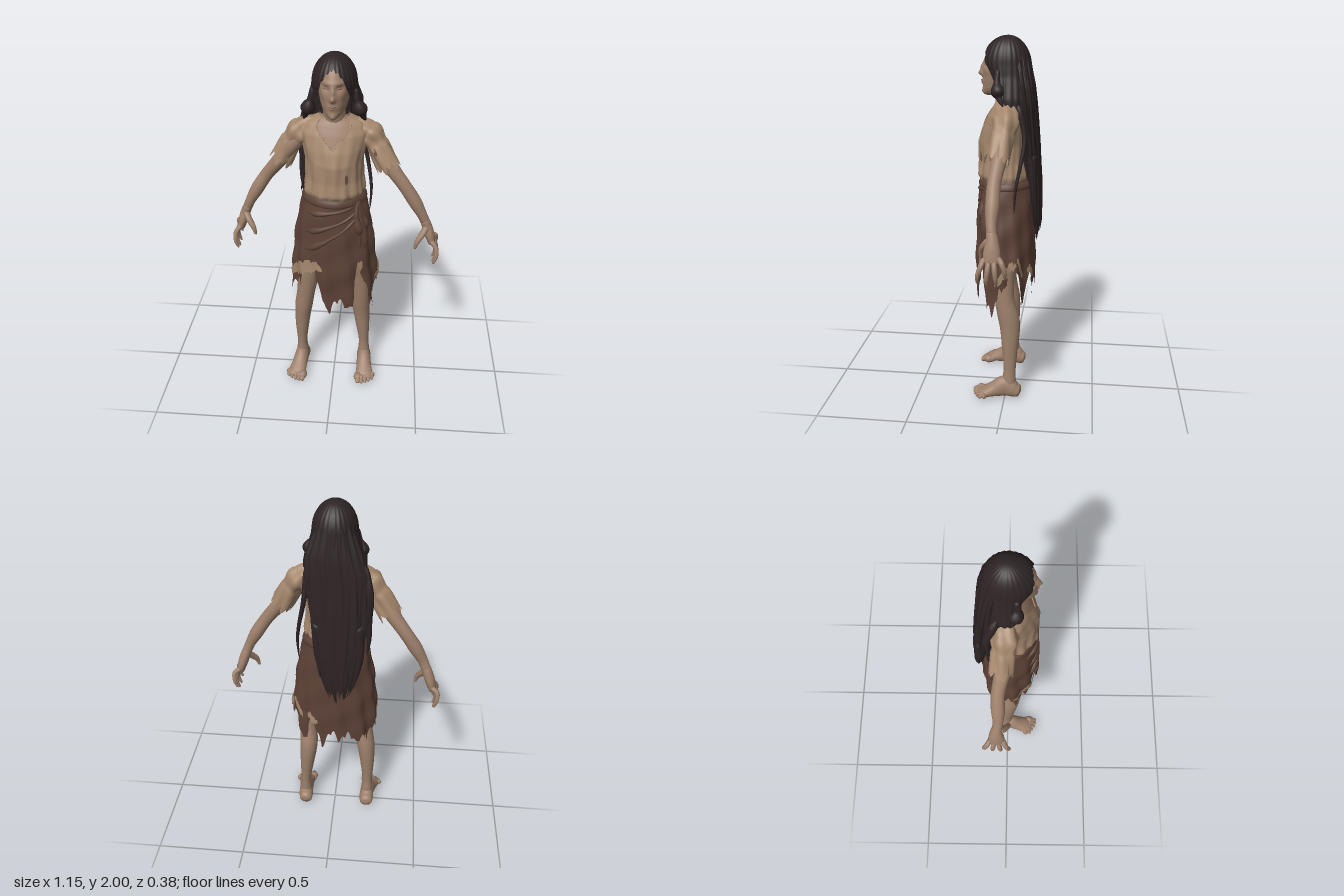
import * as THREE from 'three';

const mat = (name, color, double) => {
  const m = new THREE.MeshStandardMaterial({ color });
  m.name = name;
  if (double) m.side = THREE.DoubleSide;
  return m;
};
const V = (x, y, z) => new THREE.Vector3(x, y, z);
const rad = Math.PI / 180, UP = V(0, 1, 0);
const bump = (d, w) => Math.exp(-(d * d) / (w * w));

// piecewise linear lookup; rows are [key, value, value, ...] with rising keys
function at(rows, k) {
  if (k <= rows[0][0]) return rows[0].slice(1);
  for (let i = 1; i < rows.length; i++) {
    if (k <= rows[i][0]) {
      const t = (k - rows[i - 1][0]) / (rows[i][0] - rows[i - 1][0]);
      return rows[i].slice(1).map((b, j) => rows[i - 1][j + 1] * (1 - t) + b * t);
    }
  }
  return rows[rows.length - 1].slice(1);
}

// smooth grid surface from fn(u, v); closed joins u = 1 to u = 0
function sheet(nu, nv, fn, closed = true) {
  const cols = closed ? nu : nu + 1, pos = [], idx = [];
  for (let j = 0; j <= nv; j++)
    for (let i = 0; i < cols; i++) pos.push(...fn(i / nu, j / nv).toArray());
  for (let j = 0; j < nv; j++)
    for (let i = 0; i < nu; i++) {
      const a = j * cols + i, b = j * cols + (i + 1) % cols;
      idx.push(a, b, a + cols, b, b + cols, a + cols);
    }
  const g = new THREE.BufferGeometry();
  g.setAttribute('position', new THREE.Float32BufferAttribute(pos, 3));
  g.setIndex(idx);
  g.computeVertexNormals();
  return g;
}

// rounded limb through points [x, y, z, radius, sideways stretch]
function limb(pts, { nu = 14, nv = 24, ref = V(0, 0, 1), open = false, rag = 0 } = {}) {
  const path = new THREE.CatmullRomCurve3(pts.map(p => V(p[0], p[1], p[2])));
  const size = new THREE.CatmullRomCurve3(pts.map(p => V(p[3], p[4] ?? 1, 0)));
  const end = d => (open || d >= 0.08 ? 1 : Math.sqrt(Math.max(0, 1 - (1 - d / 0.08) ** 2)));
  return sheet(nu, nv, (u, v) => {
    const p = path.getPoint(v), t = path.getTangent(v), q = size.getPoint(v);
    const s = ref.clone().cross(t).normalize(), n = t.clone().cross(s);
    const a = u * Math.PI * 2, r = q.x * end(v) * end(1 - v) * (1 + (rag ? .07 * Math.sin(a * 5 + v * 6) : 0));
    p.addScaledVector(s, Math.cos(a) * r * q.y).addScaledVector(n, Math.sin(a) * r);
    return p.addScaledVector(t, rag * v ** 4 * (Math.abs(Math.sin(a * 2.5)) + Math.abs(Math.sin(a * 6))));
  });
}

// point on an oval section [halfWidth, front z, back z]; angle 0 faces front, 90 is +x
const oval = ([w, zf, zb], a, y, k = 1) =>
  V(w * k * Math.sin(a), y, Math.cos(a) * k * (Math.cos(a) > 0 ? zf : -zb));
const jag = a => Math.abs(Math.sin(a * 7.5 + 0.4)) * 0.06 + Math.abs(Math.sin(a * 18 + 1)) * 0.04;
const turn = u => (u * 2 - 1) * Math.PI;

const SHIRT = [[1.23, .15, .135, -.112], [1.28, .165, .163, -.118], [1.35, .153, .155, -.1], [1.45, .15, .158, -.1],
  [1.52, .165, .14, -.1], [1.6, .18, .107, -.1], [1.65, .15, .08, -.09], [1.68, .08, .06, -.07]];
const SKIRT = [[.5, .243, .165, -.14], [.8, .234, .177, -.148], [1, .215, .17, -.147], [1.15, .19, .163, -.142],
  [1.24, .165, .15, -.135], [1.27, .152, .14, -.12]];
const HEM = [[-180, .62], [-135, .57], [-95, .64], [-66, .63], [-48, .7], [-40, .8], [-28, .84], [-16, .62], [-8, .53],
  [0, .57], [28, .56], [36, .76], [46, .77], [56, .53], [66, .52], [85, .64], [116, .82], [132, .5], [148, .74], [165, .55], [180, .62]];
const HEAD = [[1.695, .014, .118, .06], [1.705, .042, .13, .03], [1.73, .061, .134, -.01], [1.77, .073, .133, -.06],
  [1.81, .079, .132, -.085], [1.86, .082, .131, -.095], [1.99, .081, .129, -.095]];
const CAP = [[1.6, .163, .03, -.15], [1.69, .158, .055, -.145], [1.75, .138, .078, -.138], [1.8, .122, .102, -.13],
  [1.86, .113, .135, -.12], [2, .113, .135, -.115]];
const HAIRLINE = [[0, 1.945], [18, 1.925], [32, 1.88], [42, 1.8], [54, 1.72], [68, 1.675], [180, 1.62]];
const MANE = [[.88, -.03, .03, -.13, -.165], [1, -.03, .075, -.115, -.182], [1.2, -.03, .12, -.1, -.182],
  [1.4, -.03, .14, -.07, -.17], [1.65, -.015, .148, -.05, -.15], [1.75, 0, .13, -.03, -.14], [1.9, 0, .08, 0, -.11]];

const shirtPoint = (a, y, off = 0) =>
  oval(at(SHIRT, y), a, y, 1 + off + (1.72 - y) * (0.06 * Math.sin(a * 9 + y * 14) + 0.04 * Math.sin(a * 17 - y * 9)));
const skirtPoint = (a, y, off = 0) =>
  oval(at(SKIRT, y), a, y, 1 + off + (1.3 - y) * 0.07 * Math.sin(a * 11 + y * 5) + 0.015 * Math.sin(a * 4 - y * 30));
const hem = a => at(HEM, a / rad)[0] + jag(a) - 0.03;
const neckline = a => at([[0, 1.54], [34, 1.645], [52, 1.68], [180, 1.685]], Math.abs(a) / rad)[0];
const dome = (y, mid, h) => (y > mid ? Math.sqrt(Math.max(0, 1 - ((y - mid) / h) ** 2)) : 1);

export function createModel() {
  const root = new THREE.Group();
  const skin = mat('skin', 0x9d806b), shirtCloth = mat('shirtCloth', 0xa5886e, true);
  const skirtCloth = mat('skirtCloth', 0x5c4136, true), hair = mat('hair', 0x2d2324, true);
  const lip = mat('lip', 0x85685a), tear = mat('tear', 0x6a5546, true);
  const add = (name, geo, m, parent = root) => {
    const mesh = new THREE.Mesh(geo, m);
    mesh.name = name;
    parent.add(mesh);
  };

  // head with sockets, nose, brow, lips and chin pushed out of an oval
  add('head', sheet(72, 64, (u, v) => {
    const a = turn(u), y = 1.695 + 0.29 * Math.sin(v * Math.PI / 2);
    const p = oval(at(HEAD, y), a, y, dome(y, 1.83, 0.155)), x = Math.abs(p.x);
    if (p.z > 0.03) {
      p.z -= 0.013 * bump(x - .033, .018) * bump(y - 1.856, .013);
      p.z += 0.006 * bump(x - .033, .028) * bump(y - 1.882, .01);
      p.z += 0.023 * bump(x, .014) * bump(y - 1.808, .016) + 0.014 * bump(x, .01) * bump(y - 1.84, .025);
      p.z += 0.007 * bump(x, .024) * bump(y - 1.766, .014) + 0.008 * bump(x, .022) * bump(y - 1.715, .014);
      p.z += 0.006 * bump(x - .048, .018) * bump(y - 1.82, .02);
    }
    return p;
  }), skin);
  const faceLine = (name, pts) => add(name, limb(pts, { nu: 10, nv: 16, ref: UP }), lip);
  faceLine('upperLip', [[-.024, 1.769, .125, .002], [0, 1.772, .14, .004], [.024, 1.769, .125, .002]]);
  faceLine('lowerLip', [[-.02, 1.764, .126, .002], [0, 1.761, .139, .004], [.02, 1.764, .126, .002]]);
  for (const s of [-1, 1])
    faceLine('eyelid', [[s * .02, 1.855, .117, .002], [s * .033, 1.857, .115, .005], [s * .047, 1.856, .105, .002]]);

  // neck and chest under the shirt
  add('neck', limb([[0, 1.56, -.01, .07], [0, 1.66, .005, .062], [0, 1.73, .025, .054], [0, 1.8, .03, .05]]), skin);
  add('chest', sheet(48, 24, (u, v) => {
    const y = 1.42 + v * 0.275;
    return oval(at(SHIRT, y), turn(u), y, 0.92);
  }), skin);

  // shirt with a V neckline, creases, a ragged overhanging hem and a small tear
  add('shirt', sheet(200, 44, (u, v) => {
    const a = turn(u), low = 1.225 + 0.45 * jag(a);
    return shirtPoint(a, low + (neckline(a) - low) * v);
  }), shirtCloth);
  const rim = [-50, -34, -17, -5, 0, 5, 17, 34, 50].map(d => [...shirtPoint(d * rad, neckline(d * rad)).toArray(), .003]);
  add('necklineRim', limb(rim, { nu: 8, nv: 48, ref: UP }), shirtCloth);
  add('shirtTear', sheet(8, 8, (u, v) => {
    const t = v * 2 - 1;
    return shirtPoint((28 + 3.5 * (u * 2 - 1) * Math.sqrt(1 - t * t)) * rad, 1.38 + .03 * t, 0.012);
  }, false), tear);

  // wrapped skirt with a torn hem, pale torn bands and waist folds
  add('skirt', sheet(260, 36, (u, v) => {
    const a = turn(u), low = hem(a);
    return skirtPoint(a, low + (1.27 - low) * v);
  }), skirtCloth);
  for (const [a0, y0, a1, y1, h] of [[-80, .71, -13, .84, .085], [33, .77, 44, .84, .08],
    [72, .69, 116, .82, .06], [116, .84, 132, .72, .05], [142, .76, 160, .72, .05]])
    add('tornBand', sheet(48, 5, (u, v) => {
      const a = (a0 + (a1 - a0) * u) * rad;
      return skirtPoint(a, y0 + (y1 - y0) * u + 0.3 * jag(a * 1.7) - 0.02 + v * h * Math.sqrt(Math.sin(u * Math.PI)), 0.03);
    }, false), shirtCloth);
  const fold = (pts, r) => limb(pts.map(([deg, y], i) =>
    [...skirtPoint(deg * rad, y, -0.02).toArray(), i === pts.length - 1 ? r * 0.4 : r]), { nu: 10, ref: V(0.1, 0.3, 1) });
  for (const [y0, y1, y2] of [[1.22, 1.19, 1.17], [1.2, 1.11, 1.06], [1.19, 1.04, .95]])
    add('waistFold', fold([[58, y0], [30, (y0 + y1) / 2], [0, y1], [-40, y2], [-75, y2 - .01]], .01), skirtCloth);
  add('waistRoll', sheet(96, 10, (u, v) => {
    const b = v * Math.PI * 2;
    return skirtPoint(turn(u), 1.235 + .02 * Math.sin(b), -.005 - .04 * Math.cos(b));
  }), skirtCloth);
  for (const [d, low] of [[42, .95], [50, .86], [58, .97]])
    add('knotDrape', fold([[52, 1.24], [d, 1.15], [d + 2, low + .1], [d, low]], .014), skirtCloth);

  // hair: cap framing the face, long mane down the back, loose locks
  add('hairCap', sheet(144, 44, (u, v) => {
    const a = turn(u), low = at(HAIRLINE, Math.abs(a) / rad)[0] + 0.006 * Math.sin(a * 31);
    const y = low + (2 - low) * Math.sin(v * Math.PI / 2);
    return oval(at(CAP, y), a, y, dome(y, 1.85, .15) * (1 + 0.012 * Math.sin(a * 26)));
  }), hair);
  add('hairMane', sheet(144, 44, (u, v) => {
    const a = turn(u), low = 0.91 + jag(a), y = low + (1.9 - low) * v;
    const [cx, w, zf, zb] = at(MANE, y), k = 1 + 0.05 * Math.sin(a * 12 + y * 4) + 0.03 * Math.sin(a * 23 - y * 7);
    return V(cx + w * k * Math.sin(a), y, (zf + zb) / 2 + (zf - zb) / 2 * k * Math.cos(a));
  }), hair);
  const locks = [
    [[-.14, 1.7, -.05, .025], [-.18, 1.55, -.1, .022], [-.18, 1.4, -.09, .018], [-.185, 1.28, -.09, .012], [-.175, 1.17, -.08, .003]],
    [[-.15, 1.6, -.09, .02], [-.165, 1.45, -.06, .014], [-.165, 1.33, -.06, .01], [-.19, 1.2, -.06, .003]],
    [[.13, 1.68, -.06, .022], [.15, 1.5, -.1, .013], [.18, 1.35, -.08, .01], [.195, 1.24, -.06, .008], [.19, 1.1, -.05, .003]],
    [[.08, 1.4, -.13, .03], [.08, 1.25, -.14, .022], [.065, 1.06, -.16, .003]],
    [[-.13, 1.4, -.13, .03], [-.14, 1.2, -.15, .022], [-.11, 1.0, -.16, .003]],
    [[-.06, 1.2, -.15, .03], [-.07, 1.05, -.16, .022], [-.06, .92, -.16, .003]],
    [[0, 1.2, -.15, .03], [0, 1.05, -.16, .022], [-.02, .89, -.155, .003]]
  ];
  for (const pts of locks) add('hairLock', limb(pts, { nu: 10 }), hair);
  for (const s of [-1, 1])
    add('shoulderLock', limb([[s * .1, 1.84, .04, .016], [s * .116, 1.77, .045, .018], [s * .14, 1.7, .03, .018], [s * .158, 1.655, .01, .004]]), hair);

  // arms, sleeves, hands, legs and feet; s = 1 is the model's left
  for (const s of [-1, 1]) {
    const side = s > 0 ? 'left' : 'right', z = s > 0 ? .03 : -.045, h = s > 0 ? .022 : -.055;
    const arm = new THREE.Group();
    arm.name = side + 'Arm';
    root.add(arm);
    const put = (name, pts, opts, m = skin, g = arm) =>
      add(name, limb(pts.map(p => [p[0] * s, ...p.slice(1)]), opts), m, g);
    put('armLimb', [[.15, 1.6, -.01, .045], [.22, 1.51, 0, .044], [.29, 1.41, z * .5, .04], [.37, 1.305, z, .035],
      [.425, 1.22, z, .036], [.475, 1.13, z, .027], [.5, 1.07, h, .026]], { nv: 40, nu: 20 });
    put('sleeve', [[.1, 1.625, -.01, .05], [.165, 1.593, -.01, .058], [.22, 1.525, z * .3 - .005, .058], [.262, 1.45, z * .6, .061]],
      { nu: 72, open: true, rag: .035 }, shirtCloth);
    put('sleeveTear', [[.205, 1.53, .042 + z * .3, .004], [.215, 1.5, .047 + z * .4, .01], [.225, 1.47, .049 + z * .5, .003]], { nu: 10 }, tear);
    put('palm', [[.485, 1.11, z, .025], [.505, 1.06, h, .032, .85], [.525, 1.0, h, .043, .6], [.54, .95, h, .04, .5]], { nu: 20 });
    for (let k = 0; k < 4; k++) {
      const o = 1.5 - k, drop = [.01, -.005, 0, .035][k];
      put('finger', [[.53, .985, h + o * .022, .014], [.56, .935 + drop, h + o * .034, .0135],
        [.563, .89 + drop, h + o * .044, .0115], [.547, .843 + drop, h + o * .046, .006]], { nu: 10 });
    }
    put('thumb', [[.505, 1.065, h + .015, .019], [.478, 1.025, h + .045, .018], [.455, .99, h + .062, .014], [.443, .945, h + .066, .007]], { nu: 10 });

    // legs stand a little unevenly
    const leg = new THREE.Group();
    leg.name = side + 'Leg';
    root.add(leg);
    put('legLimb', s > 0
      ? [[.09, 1.05, 0, .085], [.125, .78, .012, .07], [.153, .6, .005, .054, .93], [.157, .45, -.025, .058, .88], [.17, .3, -.028, .045, .88], [.178, .19, -.028, .035, .86], [.18, .11, -.025, .038, .9], [.18, .02, -.022, .045]]
      : [[.09, 1.05, .01, .085], [.135, .8, .028, .073], [.163, .6, .025, .056, .95], [.188, .43, .005, .056, .88], [.197, .3, -.002, .045, .88], [.2, .19, -.006, .035, .86], [.2, .11, -.01, .038, .9], [.2, .02, -.012, .045]],
      { nv: 56, nu: 24 }, skin, leg);
    const hx = s > 0 ? .18 : .2, tx = s > 0 ? .192 : .223, hz = s > 0 ? -.092 : -.085;
    put('foot', [[hx, .035, hz, .03, 1.1], [hx, .044, hz + .035, .043, .95], [hx + .002, .066, hz + .085, .064, .64],
      [(hx + tx) / 2, .046, hz + .15, .045, 1], [tx, .026, hz + .215, .025, 2], [tx, .018, hz + .243, .015, 2.8]],
      { nu: 24, ref: UP }, skin, leg);
    for (let k = 0; k < 5; k++) {
      const x = tx - .04 + k * .021, r = k ? .0115 : .016, reach = [.275, .275, .268, .256, .24][k];
      put('toe', [[x, .024, hz + .19, r], [x + .002, .024, hz + reach - .025, r], [x + .003, .013, hz + reach, r * .7]],
        { nu: 10, ref: UP }, skin, leg);
    }
  }
  return root;
}
